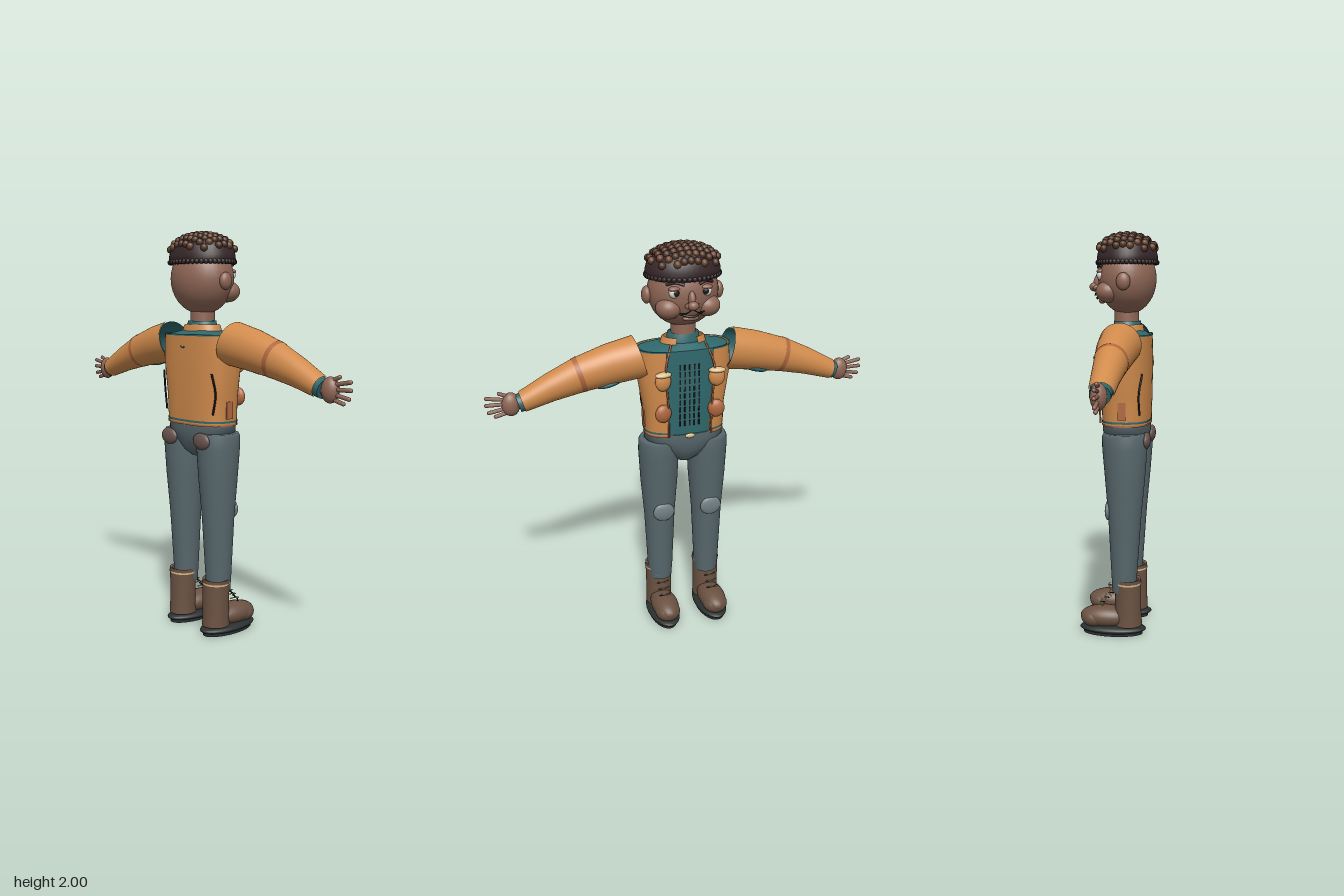
import * as THREE from 'three';

const mat = (color, side = THREE.FrontSide) => new THREE.MeshStandardMaterial({ color, side });
const C = { skin: 0x8f6756, orange: 0xd18b4c, teal: 0x2f686c, pants: 0x57676c, boot: 0x6b5242, sole: 0x2a302f,
  hair: 0x37282a, curl: 0x543729, cream: 0xdcc08f, rust: 0xb0683f, white: 0xe4e0d8, dark: 0x1f1a1a, patch: 0x728083, pocket: 0x6a5550 };
const BOTH = THREE.DoubleSide;

export function createModel() {
  const model = new THREE.Group();
  model.name = 'figure';

  const add = (name, geo, color, pos = [0, 0, 0], rot = [0, 0, 0], parent = model, side) => {
    const m = new THREE.Mesh(geo, mat(color, side));
    m.name = name;
    m.position.set(...pos);
    m.rotation.set(...rot);
    parent.add(m);
    return m;
  };
  const ball = (name, color, pos, r, rot, parent) =>
    add(name, new THREE.SphereGeometry(1, 28, 18).scale(...r), color, pos, rot, parent);
  const wire = (name, color, pts, r, parent) =>
    add(name, new THREE.TubeGeometry(new THREE.CatmullRomCurve3(pts.map(p => new THREE.Vector3(...p))), 12, r, 6), color, [0, 0, 0], [0, 0, 0], parent);

  // Skin through rounded rings [x, y, z, rx, rz]; gap leaves it open toward -z
  const loft = (rings, exp = 2, gap = 0, n = 40) => {
    const pos = [], idx = [], cols = gap ? n + 1 : n;
    const pw = v => Math.sign(v) * Math.abs(v) ** (2 / exp);
    for (const [x, y, z, rx, rz] of rings)
      for (let i = 0; i < cols; i++) {
        const a = -Math.PI / 2 + gap + (i / n) * (Math.PI * 2 - gap * 2);
        pos.push(x + rx * pw(Math.cos(a)), y, z + rz * pw(Math.sin(a)));
      }
    for (let k = 0; k < rings.length - 1; k++)
      for (let i = 0; i < n; i++) {
        const a = k * cols + i, b = k * cols + (i + 1) % cols;
        idx.push(a, a + cols, b, b, a + cols, b + cols);
      }
    const g = new THREE.BufferGeometry();
    g.setAttribute('position', new THREE.Float32BufferAttribute(pos, 3));
    g.setIndex(idx);
    g.computeVertexNormals();
    return g;
  };

  // Torso: inner shirt, open jacket, hem and collar
  const Z = 0.037;
  add('shirt', loft([[0, 1.05, Z, 0.19, 0.108], [0, 1.2, Z, 0.194, 0.112], [0, 1.38, Z, 0.224, 0.113],
    [0, 1.5, Z, 0.22, 0.11], [0, 1.5, Z, 0.22, 0.11], [0, 1.525, Z, 0.08, 0.07]], 2.6), C.teal);
  add('jacket', loft([[0, 1.065, Z, 0.2, 0.118], [0, 1.2, Z, 0.205, 0.122], [0, 1.38, Z, 0.234, 0.123],
    [0, 1.5, Z, 0.23, 0.12]], 2.6, 0.42), C.orange, undefined, undefined, model, BOTH);
  add('jacketTopTrim', loft([[0, 1.496, Z, 0.232, 0.122], [0, 1.504, Z, 0.232, 0.122]], 2.6, 0.42), C.teal, undefined, undefined, model, BOTH);
  add('hemTrim', loft([[0, 1.077, Z, 0.203, 0.121], [0, 1.087, Z, 0.203, 0.121]], 2.6, 0.42), C.teal, undefined, undefined, model, BOTH);
  add('hemStitch', loft([[0, 1.062, Z, 0.203, 0.121], [0, 1.07, Z, 0.203, 0.121]], 2.6, 0.42), C.rust, undefined, undefined, model, BOTH);
  add('collar', loft([[0, 1.5, Z, 0.12, 0.085], [0, 1.545, Z, 0.105, 0.078], [0, 1.55, Z, 0.098, 0.072]], 2, 0.5), C.orange, undefined, undefined, model, BOTH);
  add('shirtCollar', loft([[0, 1.5, Z, 0.088, 0.07], [0, 1.567, Z, 0.076, 0.066], [0, 1.567, Z, 0.055, 0.05]]), C.teal, undefined, undefined, model, BOTH);
  wire('backLoop', C.teal, [[-0.015, 1.445, 0.161], [0, 1.438, 0.162], [0.015, 1.445, 0.161]], 0.003);
  ball('buckle', C.cream, [0, 1.065, -0.083], [0.025, 0.012, 0.008]);

  // Dashed ribs down the shirt front
  for (let c = -2; c <= 2; c++)
    for (let r = 0; r < 9; r++)
      add('shirtRib', new THREE.BoxGeometry(0.007, 0.026, 0.006), C.dark, [c * 0.024, 1.13 + r * 0.036, -0.0755]);

  // Trousers seat
  add('trouserSeat', loft([[0, 0.895, Z, 0.001, 0.001], [0, 0.9, Z, 0.04, 0.05], [0, 0.93, Z, 0.085, 0.085], [0, 0.98, Z, 0.15, 0.108],
    [0, 1.03, Z, 0.2, 0.118], [0, 1.07, Z, 0.2, 0.116], [0, 1.07, Z, 0.2, 0.116], [0, 1.07, Z, 0.001, 0.001]], 2.3), C.pants);

  // Head
  add('neck', new THREE.CylinderGeometry(0.06, 0.062, 0.13, 28), C.skin, [0, 1.57, 0.033]);
  ball('head', C.skin, [0, 1.77, Z], [0.172, 0.172, 0.143]);
  ball('noseBridge', C.skin, [0, 1.755, -0.11], [0.018, 0.042, 0.022], [0.2, 0, 0]);
  ball('noseTip', C.skin, [0, 1.732, -0.128], [0.026, 0.022, 0.024]);
  wire('mouth', C.dark, [[-0.055, 1.69, -0.094], [0, 1.676, -0.113], [0.055, 1.69, -0.094]], 0.006);
  ball('lowerLip', C.skin, [0, 1.663, -0.088], [0.04, 0.013, 0.016]);

  // Cropped hair with a cap of curls on a grid
  add('hair', loft([[0, 1.84, Z, 0.15, 0.12], [0, 1.84, Z, 0.184, 0.15], [0, 1.88, Z, 0.18, 0.148], [0, 1.92, Z, 0.168, 0.138],
    [0, 1.955, Z, 0.135, 0.11], [0, 1.975, Z, 0.08, 0.07], [0, 1.98, Z, 0.001, 0.001]]), C.hair);
  for (let i = 0; i < 46; i++) {
    const a = i / 46 * Math.PI * 2;
    add('hairlineCurl', new THREE.SphereGeometry(0.013, 8, 6), C.hair, [Math.cos(a) * 0.176, 1.849, Z + Math.sin(a) * 0.143]);
  }
  for (let i = -5; i <= 5; i++)
    for (let k = -4; k <= 4; k++) {
      const x = i * 0.032, z = k * 0.032, d = (x / 0.18) ** 2 + (z / 0.148) ** 2;
      if (d > 0.95) continue;
      const shade = (i * 7 + k * 5 + 70) % 4 === 0 ? 0x6a452f : C.curl;
      add('curl', new THREE.SphereGeometry(0.0185, 10, 8), shade, [x, 1.885 + 0.096 * Math.sqrt(1 - d), Z + z]);
    }

  // Paired parts
  for (const s of [-1, 1]) {
    ball('ear', C.skin, [s * 0.178, 1.757, 0.04], [0.024, 0.042, 0.034]);
    ball('cheek', C.skin, [s * 0.095, 1.708, -0.045], [0.062, 0.052, 0.06]);
    ball('nostril', C.skin, [s * 0.022, 1.728, -0.115], [0.014, 0.013, 0.016]);
    ball('eye', C.white, [s * 0.072, 1.788, -0.078], [0.032, 0.028, 0.022], [0, s * 0.35, 0]);
    ball('iris', C.dark, [s * 0.07, 1.788, -0.095], [0.015, 0.016, 0.008], [0, s * 0.35, 0]);
    ball('upperLid', C.skin, [s * 0.073, 1.806, -0.079], [0.034, 0.013, 0.022], [0, s * 0.35, 0]);
    wire('eyebrow', C.hair, [[s * 0.035, 1.825, -0.103], [s * 0.075, 1.836, -0.09], [s * 0.112, 1.824, -0.066]], 0.007);
    for (let k = 0; k < 3; k++)
      wire('moustacheHair', C.dark, [[s * 0.006, 1.708, -0.115], [s * (0.02 + k * 0.01), 1.7 - k * 0.004, -0.118], [s * (0.035 + k * 0.012), 1.692 + k * 0.003, -0.108]], 0.003);

    // Jacket pockets, seams and side tabs
    ball('chestPocket', C.orange, [s * 0.135, 1.36, -0.082], [0.04, 0.048, 0.024], [0, s * 0.15, 0]);
    ball('pocketFlap', C.cream, [s * 0.135, 1.395, -0.087], [0.042, 0.014, 0.024], [0, s * 0.15, 0]);
    ball('hipPocket', C.rust, [s * 0.135, 1.195, -0.08], [0.042, 0.046, 0.024], [0, s * 0.15, 0]);
    wire('jacketEdge', C.rust, [[s * 0.108, 1.07, -0.082], [s * 0.112, 1.25, -0.087], [s * 0.122, 1.42, -0.087], [s * 0.085, 1.53, -0.05]], 0.005);
    wire('backSeam', C.dark, [[s * 0.184, 1.32, 0.133], [s * 0.195, 1.22, 0.118], [s * 0.178, 1.12, 0.12]], 0.005);
    add('sideTab', new THREE.BoxGeometry(0.012, 0.085, 0.038), C.rust, [s * 0.202, 1.14, Z]);

    // Arm, with local y running from shoulder to wrist
    const arm = new THREE.Group();
    arm.name = 'arm';
    arm.position.set(s * 0.222, 1.462, 0.032);
    arm.rotation.z = -s * 1.858;
    model.add(arm);
    const sleeve = [[0, 0.107, 0.102], [0.14, 0.1, 0.092], [0.3, 0.086, 0.076], [0.45, 0.068, 0.064], [0.595, 0.05, 0.055]];
    const bend = y => -s * 0.022 * Math.sin(y / 0.6 * Math.PI);
    const rings = d => sleeve.map(([y, rx, rz]) => [bend(y), y, 0, rx + d, rz + d]);
    add('sleeve', loft(rings(0)), C.orange, undefined, undefined, arm);
    add('sleeveLining', loft(rings(-0.006)), C.teal, undefined, undefined, arm, BOTH);
    add('elbowBand', loft([[bend(0.29), 0.288, 0, 0.0885, 0.0785], [bend(0.312), 0.312, 0, 0.086, 0.076]]), C.rust, undefined, undefined, arm, BOTH);
    ball('underarmPatch', C.teal, [s * 0.064, 0.17, -0.015], [0.02, 0.075, 0.045], undefined, arm);
    add('cuff', loft([[0, 0.56, 0, 0.046, 0.046], [0, 0.615, 0, 0.044, 0.046], [0, 0.615, 0, 0.044, 0.046], [0, 0.615, 0, 0.001, 0.001]]), C.teal, undefined, undefined, arm);

    // Hand
    const hand = new THREE.Group();
    hand.name = 'hand';
    hand.position.set(s * 0.845, 1.287, 0.032);
    model.add(hand);
    add('wrist', new THREE.CylinderGeometry(0.026, 0.03, 0.07, 18), C.skin, [-s * 0.045, 0.004, 0], [0, 0, -s * 1.75], hand);
    ball('palm', C.skin, [0, 0, 0], [0.044, 0.058, 0.036], undefined, hand);
    [[0.043, 0.062, 0.4], [0.024, 0.122, 0.17], [0.003, 0.124, 0.02], [-0.018, 0.115, -0.17], [-0.04, 0.085, -0.25]].forEach(([y, tip, tilt]) => {
      const len = tip - 0.01;
      add('finger', new THREE.CapsuleGeometry(0.0095, len - 0.019, 4, 10), C.skin, [s * (0.01 + len / 2), y + Math.sin(tilt) * len * 0.4, 0],
        [0, 0, s * (tilt - Math.PI / 2)], hand);
    });

    // Trouser leg
    const X = s * 0.128;
    add('trouserLeg', loft([[X, 0.22, 0.04, 0.06, 0.06], [X, 0.3, 0.04, 0.066, 0.064], [X, 0.6, 0.042, 0.079, 0.082], [X, 0.8, 0.043, 0.095, 0.099],
      [X, 0.95, 0.042, 0.102, 0.111], [X, 1.01, 0.042, 0.1, 0.112], [X, 1.025, 0.042, 0.092, 0.105], [X, 1.025, 0.042, 0.001, 0.001]]), C.pants);
    ball('backPocket', C.pocket, [s * 0.125, 0.99, 0.148], [0.058, 0.041, 0.02]);
    ball('kneePatch', C.patch, [s * 0.126, 0.635, -0.04], [0.056, 0.05, 0.017]);

    // Boot
    const B = s * 0.132;
    add('bootShaft', loft([[B, 0.05, 0.06, 0.068, 0.07], [B, 0.12, 0.06, 0.066, 0.066], [B, 0.29, 0.06, 0.07, 0.064],
      [B, 0.29, 0.06, 0.07, 0.064], [B, 0.285, 0.06, 0.055, 0.05]]), C.boot, undefined, undefined, model, BOTH);
    ball('bootFoot', C.boot, [B, 0.088, -0.055], [0.07, 0.056, 0.128]);
    ball('toeCap', C.boot, [B, 0.08, -0.11], [0.066, 0.05, 0.07]);
    ball('sole', C.sole, [B, 0.03, -0.017], [0.082, 0.026, 0.168]);
    add('soleBottom', new THREE.CylinderGeometry(1, 1, 1, 36).scale(0.07, 0.022, 0.15), C.sole, [B, 0.014, -0.017]);
    add('bootTrim', loft([[B, 0.264, 0.06, 0.072, 0.0665], [B, 0.273, 0.06, 0.073, 0.067]]), C.cream, undefined, undefined, model, BOTH);
    for (let k = 0; k < 4; k++) {
      const y = 0.235 - k * 0.025, z = -0.01 - k * 0.022;
      for (const e of [-1, 1])
        wire('lace', e < 0 ? C.cream : C.dark, [[B + e * 0.03, y - 0.012, z + 0.012], [B, y, z - 0.004], [B - e * 0.028, y + 0.006, z]], 0.003);
    }
  }
  return model;
}
